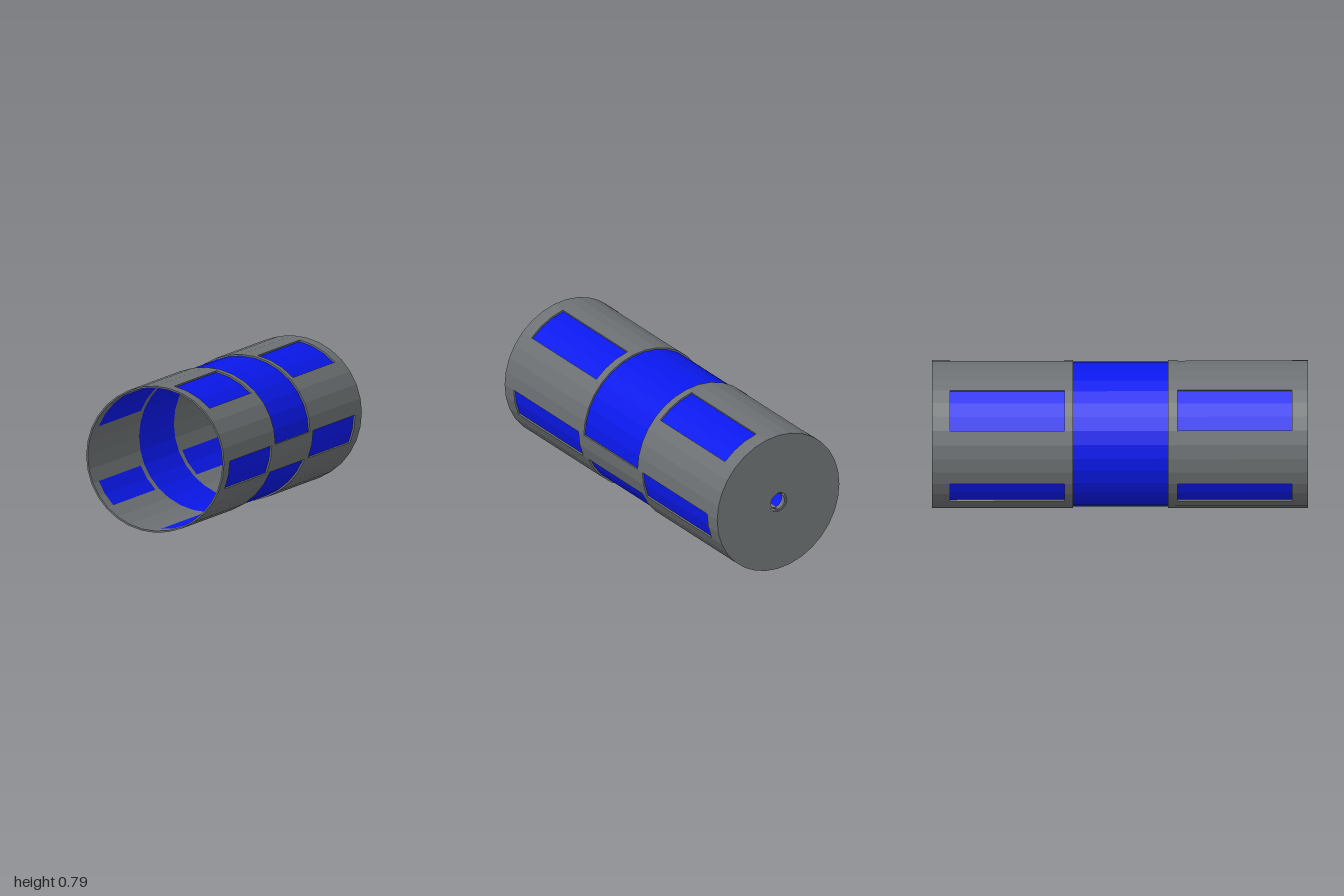
import * as THREE from 'three';

const SIDES = 32, STEP = (Math.PI * 2) / SIDES;
const OUTER = 0.394, INNER = 0.385, CENTRE_Y = 0.395;

const grey = new THREE.MeshStandardMaterial({ color: 0x6d7173, flatShading: true });
const blue = new THREE.MeshStandardMaterial({ color: 0x0a18ec, flatShading: true, side: THREE.DoubleSide });

// Window spans around the tube, counted in facets
const WINDOWS = [[4, 7], [11, 14], [18, 20], [24, 26], [30, 32]];
const STRIP = [30, 32];
// Window spans along the tube
const ROWS = [[-0.905, -0.295], [0.305, 0.915]];
const WAIST = [-0.25, 0.255];

function arc(radius, from, to) {
  const points = [];
  for (let i = from; i <= to; i++) {
    points.push(new THREE.Vector2(Math.cos(i * STEP) * radius, Math.sin(i * STEP) * radius));
  }
  return points;
}

function extrude(shape, z0, z1) {
  const geometry = new THREE.ExtrudeGeometry(shape, { depth: z1 - z0, bevelEnabled: false });
  return geometry.translate(0, 0, z0);
}

// Closed ring between two radii
function ring(rOut, rIn, z0, z1) {
  const shape = new THREE.Shape(arc(rOut, 0, SIDES - 1));
  shape.holes.push(new THREE.Path(arc(rIn, 0, SIDES - 1).reverse()));
  return extrude(shape, z0, z1);
}

// Part of a ring between two facet numbers
function sector(rOut, rIn, from, to, z0, z1) {
  return extrude(new THREE.Shape([...arc(rOut, from, to), ...arc(rIn, from, to).reverse()]), z0, z1);
}

// Thin curved panel; angles are turned so facets match the shell
function panel(from, to, z0, z1) {
  const geometry = new THREE.CylinderGeometry(INNER, INNER, z1 - z0, to - from, 1, true,
    Math.PI / 2 + from * STEP, (to - from) * STEP);
  return geometry.rotateX(Math.PI / 2).translate(0, 0, (z0 + z1) / 2);
}

export function createModel() {
  const model = new THREE.Group();
  const body = new THREE.Group();
  body.name = 'tube';
  body.position.y = CENTRE_Y;
  model.add(body);

  const add = (name, geometry, material = grey) => {
    const mesh = new THREE.Mesh(geometry, material);
    mesh.name = name;
    body.add(mesh);
    return mesh;
  };

  // Solid bands around the shell
  const bands = [[-1, ROWS[0][0]], [ROWS[0][1], WAIST[0]], [WAIST[1], ROWS[1][0]], [ROWS[1][1], 1]];
  bands.forEach(([z0, z1]) => add('shellBand', ring(OUTER, INNER, z0, z1)));

  // Ribs between windows, and the blue panels filling them
  ROWS.forEach(([z0, z1]) => {
    WINDOWS.forEach(([from, to], i) => {
      const next = WINDOWS[(i + 1) % WINDOWS.length][0] + (i === WINDOWS.length - 1 ? SIDES : 0);
      add('shellRib', sector(OUTER, INNER, to, next, z0, z1));
      add('windowPanel', panel(from, to, z0, z1), blue);
    });
  });

  // Waist: blue wrap with one bridging strip of shell
  add('waistWrap', panel(0, STRIP[0], ...WAIST), blue);
  add('waistStrip', sector(OUTER, INNER, ...STRIP, ...WAIST));

  // Back plate with a central hole
  add('backPlate', ring(INNER, 0.055, -1, -0.985));

  // Two-part collar in the hole, joined by thin bars
  [[-3, 8], [13, 24]].forEach(([from, to]) => {
    add('collar', sector(0.056, 0.044, from, to, -0.995, -0.965));
  });
  [1, -1].forEach((side) => {
    const a = (side > 0 ? 10.5 : 26.5) * STEP;
    const bar = add('collarBar', new THREE.BoxGeometry(0.005, 0.045, 0.012));
    bar.position.set(Math.cos(a) * 0.044, Math.sin(a) * 0.044, -0.975);
    bar.rotation.z = a;

    // Small clip beside the collar, with a raised stud
    const clip = add('clip', new THREE.BoxGeometry(0.018, 0.026, 0.02));
    clip.position.set(side * 0.073, 0, -0.976);
    const stud = add('clipStud', new THREE.BoxGeometry(0.008, 0.01, 0.006));
    stud.position.set(side * 0.073, 0, -0.964);
    const arm = add('clipArm', new THREE.BoxGeometry(0.012, 0.008, 0.01));
    arm.position.set(side * 0.06, 0, -0.98);
  });

  return model;
}
